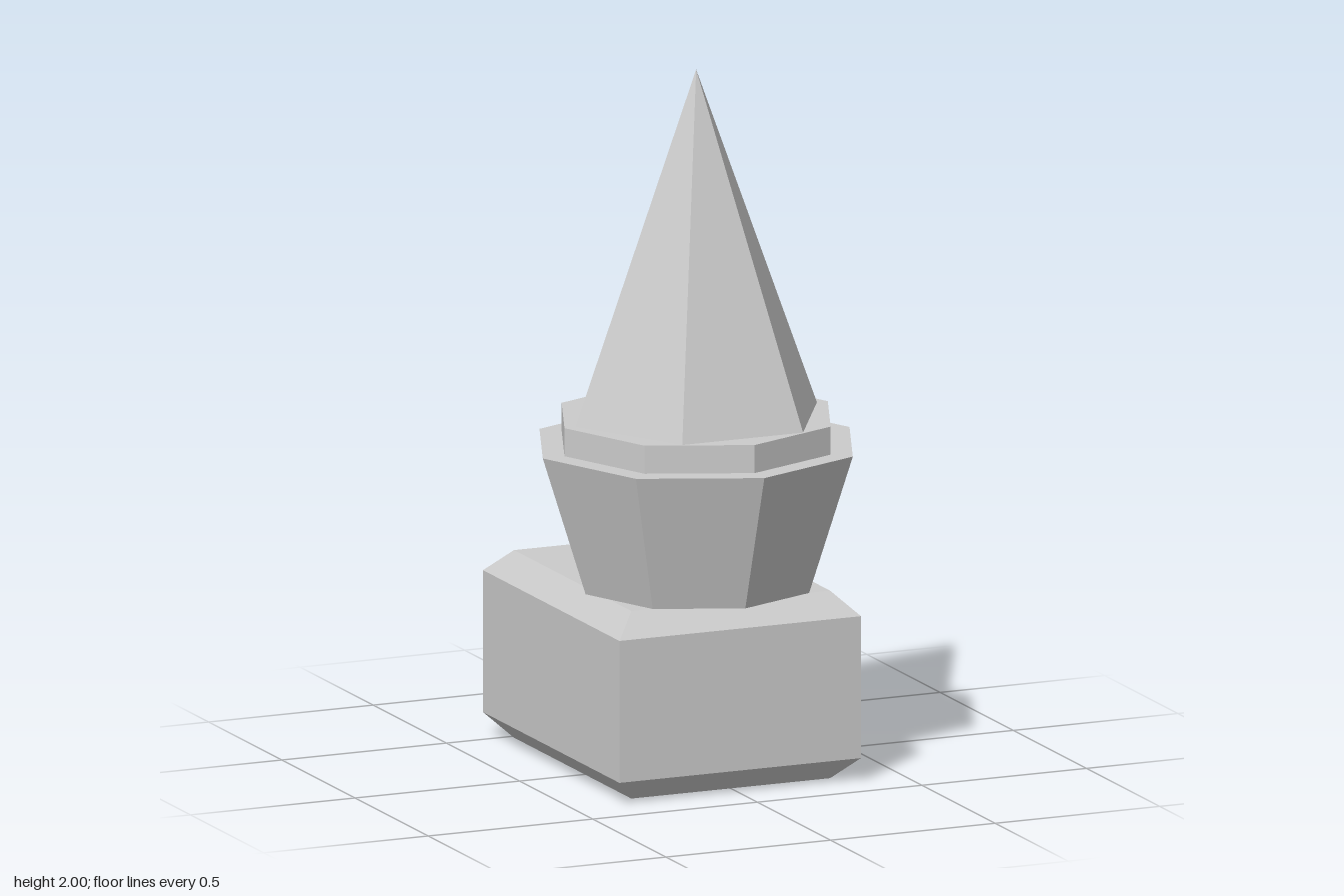
import * as THREE from 'three';

const CENTRE_Z = 0.082; // axis of the planter and the tree

export function createModel() {
  const group = new THREE.Group();
  const material = new THREE.MeshStandardMaterial({ color: 0xcccccc, flatShading: true });

  const add = (name, geometry) => {
    const mesh = new THREE.Mesh(geometry, material);
    mesh.name = name;
    group.add(mesh);
  };

  // faceted round part standing between two heights
  const addTapered = (name, topRadius, bottomRadius, y0, y1, sides, turn = 0) => {
    const geometry = topRadius > 0
      ? new THREE.CylinderGeometry(topRadius, bottomRadius, y1 - y0, sides)
      : new THREE.ConeGeometry(bottomRadius, y1 - y0, sides);
    geometry.rotateY(turn).translate(0, (y0 + y1) / 2, CENTRE_Z);
    add(name, geometry);
  };

  // block base with chamfered top and bottom edges and sharp upright corners
  const bevel = 0.065, halfWidth = 0.367 - bevel;
  const back = 0.549 - bevel, front = -(0.383 - bevel), height = 0.535;
  const outline = new THREE.Shape([
    new THREE.Vector2(-halfWidth, front),
    new THREE.Vector2(halfWidth, front),
    new THREE.Vector2(halfWidth, back),
    new THREE.Vector2(-halfWidth, back),
  ]);
  const base = new THREE.ExtrudeGeometry(outline, {
    depth: height - 2 * bevel, bevelThickness: bevel, bevelSize: bevel, bevelSegments: 1, steps: 1,
  });
  base.translate(0, 0, bevel).rotateX(-Math.PI / 2);
  add('base', base);

  // flared octagonal pot, its narrower rim and the six-sided cone on top
  addTapered('pot', 0.466, 0.336, height, 0.935, 8);
  addTapered('rim', 0.4, 0.4, 0.935, 1.015, 8);
  addTapered('cone', 0, 0.367, 1.015, 2, 6, Math.PI / 6);

  return group;
}
